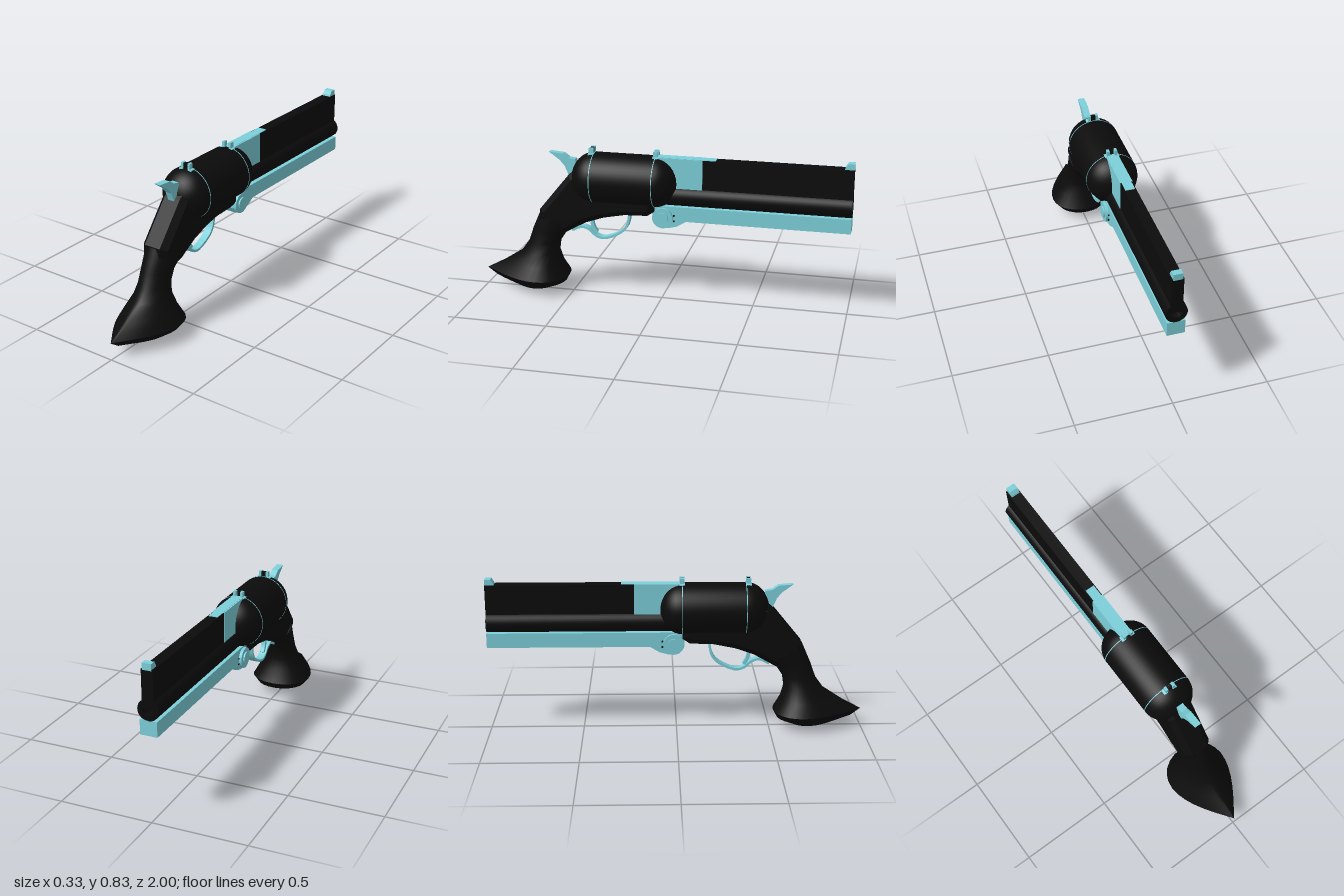
import * as THREE from 'three';
import { toCreasedNormals } from 'three/addons/utils/BufferGeometryUtils.js';

const black = new THREE.MeshStandardMaterial({ color: 0x0b0b0b });
const cyan = new THREE.MeshStandardMaterial({ color: 0x7ccfd9 });

export function createModel() {
  const group = new THREE.Group();

  const add = (name, geometry, material) => {
    const mesh = new THREE.Mesh(geometry, material);
    mesh.name = name;
    group.add(mesh);
    return mesh;
  };

  const box = (name, material, w, h, d, x, y, z) =>
    add(name, new THREE.BoxGeometry(w, h, d).translate(x, y, z), material);

  // Side plate: an outline of [z, y] points, given a thickness centred on x = 0
  const plate = (name, material, points, halfWidth, bevel = 0) => {
    const shape = new THREE.Shape(points.map(([z, y]) => new THREE.Vector2(z, y)));
    const depth = 2 * (halfWidth - bevel);
    const g = new THREE.ExtrudeGeometry(shape, {
      depth, bevelEnabled: bevel > 0, bevelThickness: bevel,
      bevelSize: bevel, bevelOffset: -bevel, bevelSegments: 1,
    });
    g.translate(0, 0, -depth / 2).rotateY(-Math.PI / 2);
    return add(name, g, material);
  };

  // Turned part along z: profile of [radius, z] points with z increasing
  const turned = (name, material, profile, y, segments = 48) => {
    const g = new THREE.LatheGeometry(profile.map(([r, z]) => new THREE.Vector2(r, z)), segments);
    g.rotateX(Math.PI / 2);
    return add(name, toCreasedNormals(g.translate(0, y, 0), 0.6), material);
  };

  // Drum with domed ends
  const drum = [];
  for (let i = 0; i <= 10; i++) {
    const a = (i / 10) * Math.PI / 2;
    drum.push([0.137 * Math.sin(a), 0.03 - 0.118 * Math.cos(a)]);
  }
  for (let i = 0; i <= 10; i++) {
    const a = (i / 10) * Math.PI / 2;
    drum.push([0.137 * Math.cos(a), 0.365 + 0.125 * Math.sin(a)]);
  }
  turned('drum', black, drum, 0.664);
  for (const z of [0.03, 0.365]) {
    turned('drumRing', cyan, [[0.13, z - 0.002], [0.138, z - 0.002], [0.138, z + 0.002], [0.13, z + 0.002]], 0.664);
  }

  // Barrel tube with a shallow bore, and the tall rib above it
  turned('barrel', black,
    [[0, -0.9], [0.03, -0.9], [0.03, -1], [0.055, -1], [0.055, 0.03], [0, 0.03]], 0.596, 32);
  box('barrelRib', black, 0.06, 0.2, 1.0, 0, 0.7, -0.5);
  box('ribSleeve', cyan, 0.064, 0.172, 0.252, 0, 0.716, -0.096);
  box('ribStrip', cyan, 0.05, 0.006, 0.32, 0, 0.8, -0.13);

  // Underlug running back to the hinge
  plate('underlug', cyan, [
    [-1, 0.465], [-0.14, 0.465], [-0.09, 0.435], [-0.05, 0.424], [-0.015, 0.42], [0.02, 0.433],
    [0.042, 0.465], [0.042, 0.495], [0.07, 0.52], [0.0, 0.543], [-1, 0.543],
  ], 0.045);
  for (const [name, r, w] of [['hingeDisc', 0.055, 0.12], ['hingeScrew', 0.032, 0.135]]) {
    const g = new THREE.CylinderGeometry(r, r, w, 28).rotateZ(Math.PI / 2);
    add(name, g.translate(0, 0.48, -0.015), cyan);
  }
  for (const side of [-1, 1]) {
    for (const y of [0.465, 0.495]) {
      const g = new THREE.CylinderGeometry(0.005, 0.005, 0.01, 10).rotateZ(Math.PI / 2);
      add('hingePin', g.translate(side * 0.045, y, -0.075), black);
    }
  }

  // Chamfered frame from the hinge to the grip
  plate('frame', black, [
    [0.47, 0.705], [0.5, 0.68], [0.665, 0.478], [0.67, 0.42], [0.53, 0.352], [0.41, 0.42],
    [0.31, 0.455], [0.195, 0.478], [0.07, 0.483], [0.03, 0.51], [0.03, 0.61], [0.38, 0.61],
  ], 0.076, 0.03);

  // Grip: [back z, back y, front z, front y, half width, pointedness at the back]
  const sections = [
    [0.572, 0.428, 0.572, 0.428, 0, 0],
    [0.668, 0.475, 0.478, 0.378, 0.085, 0],
    [0.718, 0.36, 0.532, 0.345, 0.077, 0],
    [0.747, 0.28, 0.568, 0.29, 0.08, 0.1],
    [0.79, 0.22, 0.577, 0.23, 0.095, 0.3],
    [0.89, 0.155, 0.56, 0.165, 0.13, 0.8],
    [1.0, 0.095, 0.522, 0.095, 0.167, 1.2],
    [0.945, 0.055, 0.54, 0.06, 0.138, 1.1],
    [0.85, 0.02, 0.61, 0.03, 0.09, 1],
    [0.715, 0.002, 0.715, 0.002, 0, 0],
  ];
  const N = 32, pos = [], index = [];
  sections.forEach(([bz, by, fz, fy, w, p], i) => {
    const outline = (t) => Math.sin(t) * Math.pow(Math.abs(Math.sin(t / 2)), p);
    const peak = outline(Math.acos(-p / (p + 2)));
    for (let j = 0; j < N; j++) {
      const t = (j / N) * Math.PI * 2;
      const k = (1 + Math.cos(t)) / 2;
      pos.push((w * outline(t)) / peak, fy + (by - fy) * k, fz + (bz - fz) * k);
      if (i === sections.length - 1) continue;
      const a = i * N + j, b = i * N + ((j + 1) % N);
      index.push(a, a + N, b, b, a + N, b + N);
    }
  });
  const grip = new THREE.BufferGeometry();
  grip.setAttribute('position', new THREE.Float32BufferAttribute(pos, 3));
  grip.setIndex(index);
  add('grip', toCreasedNormals(grip, 0.7), black);

  // Hammer
  plate('hammer', cyan, [
    [0.614, 0.794], [0.535, 0.787], [0.505, 0.765], [0.47, 0.76], [0.44, 0.66], [0.5, 0.65],
    [0.515, 0.69], [0.528, 0.72], [0.555, 0.752],
  ], 0.018);

  // Ribbon of a given thickness along a smooth [z, y] path
  const ribbon = (name, path, thick, halfWidth) => {
    const curve = new THREE.CatmullRomCurve3(path.map(([z, y]) => new THREE.Vector3(z, y, 0)));
    const upper = [], lower = [];
    for (let i = 0; i <= 24; i++) {
      const p = curve.getPoint(i / 24), t = curve.getTangent(i / 24);
      upper.push([p.x - t.y * thick / 2, p.y + t.x * thick / 2]);
      lower.unshift([p.x + t.y * thick / 2, p.y - t.x * thick / 2]);
    }
    plate(name, cyan, [...upper, ...lower], halfWidth);
  };
  ribbon('triggerGuard', [
    [0.495, 0.36], [0.44, 0.384], [0.4, 0.372], [0.36, 0.338], [0.315, 0.328],
    [0.22, 0.37], [0.188, 0.41], [0.172, 0.49],
  ], 0.013, 0.02);
  ribbon('trigger', [[0.37, 0.46], [0.385, 0.42], [0.378, 0.385], [0.36, 0.355]], 0.018, 0.012);

  // Notched sights on both ends of the drum
  for (const z of [0.03, 0.378]) {
    for (const side of [-1, 1]) {
      box('sightProng', cyan, 0.014, 0.05, 0.024, side * 0.02, 0.805, z);
      const foot = box('sightFoot', cyan, 0.022, 0.012, 0.03, 0, 0, 0);
      foot.position.set(side * 0.026, 0.796, z);
      foot.rotation.z = -side * 0.3;
    }
  }
  box('rearSightBlade', black, 0.026, 0.04, 0.016, 0, 0.808, 0.378);

  // Muzzle sight
  plate('muzzleSight', cyan,
    [[-1, 0.795], [-0.95, 0.795], [-0.955, 0.81], [-0.968, 0.83], [-1, 0.83]], 0.024);

  return group;
}
